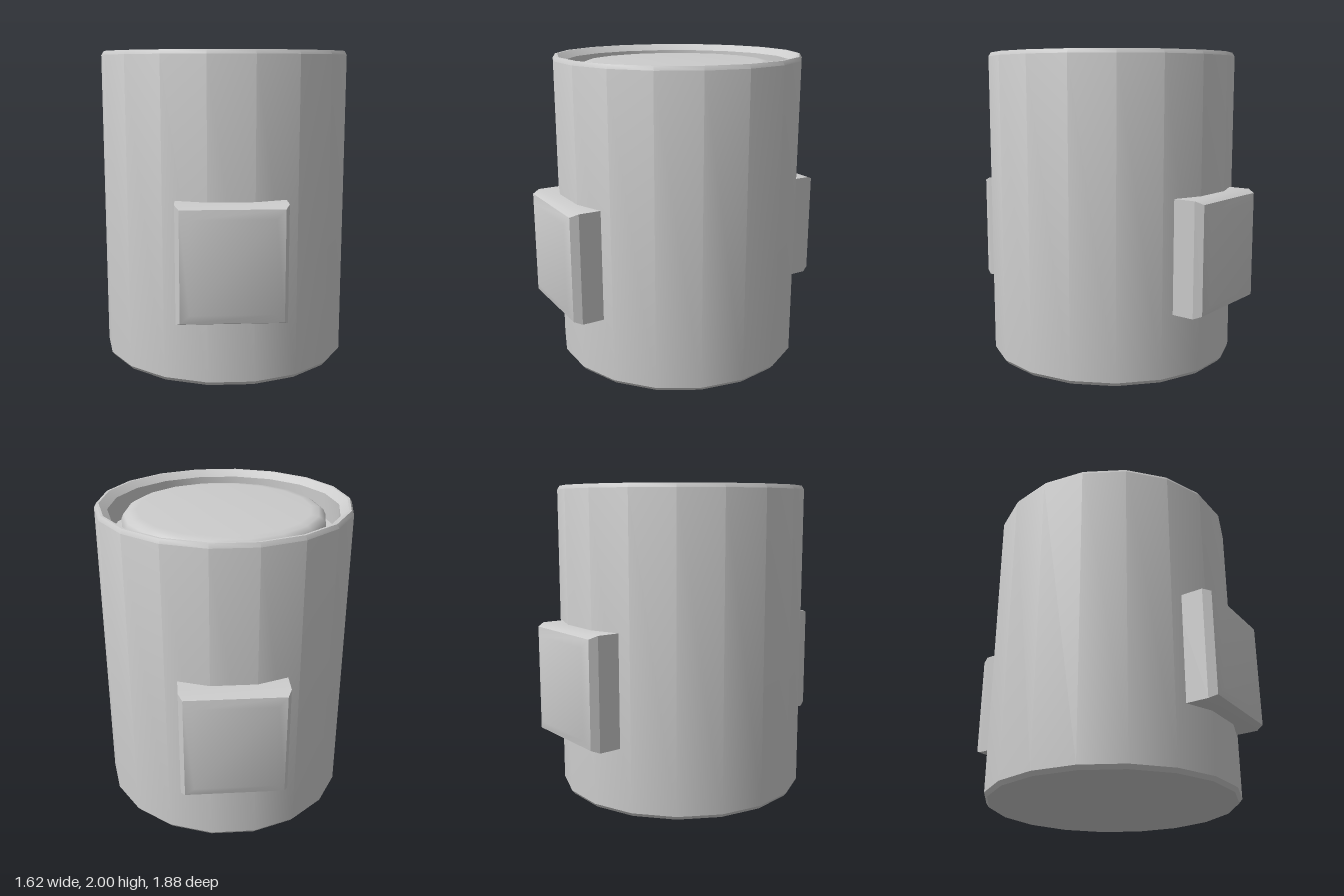
import * as THREE from 'three';
import { toCreasedNormals } from 'three/addons/utils/BufferGeometryUtils.js';

const SIDES = 18;
const material = new THREE.MeshStandardMaterial({ color: 0xcccccc });

// Turned part with one corner pointing along +x
function turned(name, profile) {
  const points = profile.map(([r, y]) => new THREE.Vector2(r, y));
  const geometry = new THREE.LatheGeometry(points, SIDES, Math.PI / 2);
  const mesh = new THREE.Mesh(toCreasedNormals(geometry, 0.6), material);
  mesh.name = name;
  return mesh;
}

// Block made of stacked rectangles [half width, half height, z], closed at both ends
function steppedBlock(rings) {
  const positions = [];
  for (const [w, h, z] of rings) positions.push(-w, -h, z, w, -h, z, w, h, z, -w, h, z);
  const index = [0, 2, 1, 0, 3, 2];
  for (let r = 0; r < rings.length - 1; r++) {
    for (let i = 0; i < 4; i++) {
      const a = r * 4 + i, b = r * 4 + (i + 1) % 4;
      index.push(a, b, b + 4, a, b + 4, a + 4);
    }
  }
  const t = (rings.length - 1) * 4;
  index.push(t, t + 1, t + 2, t, t + 2, t + 3);
  const geometry = new THREE.BufferGeometry();
  geometry.setAttribute('position', new THREE.Float32BufferAttribute(positions, 3));
  geometry.setIndex(index);
  return toCreasedNormals(geometry, 0.45);
}

export function createModel() {
  const model = new THREE.Group();
  model.name = 'canister';

  // Outer shell with bevelled edges and a recess at the top
  model.add(turned('shell', [
    [0, 0], [0.79, 0], [0.81, 0.025], [0.81, 1.975], [0.795, 2],
    [0.78, 2], [0.73, 1.96], [0.73, 1.8], [0, 1.8],
  ]));

  // Rounded lid sitting in the recess
  model.add(turned('lid', [
    [0, 1.75], [0.645, 1.75], [0.645, 1.9], [0.63, 1.93], [0.6, 1.95], [0.55, 1.955], [0, 1.955],
  ]));

  // Bevelled pads on the front and back
  const padGeometry = steppedBlock([
    [0.33, 0.355, 0.68], [0.33, 0.355, 0.87], [0.305, 0.335, 0.92], [0.25, 0.28, 0.938],
  ]);
  for (const [name, turn] of [['frontPad', 0], ['backPad', Math.PI]]) {
    const pad = new THREE.Mesh(padGeometry, material);
    pad.name = name;
    pad.position.y = 0.775;
    pad.rotation.y = turn;
    model.add(pad);
  }
  return model;
}
